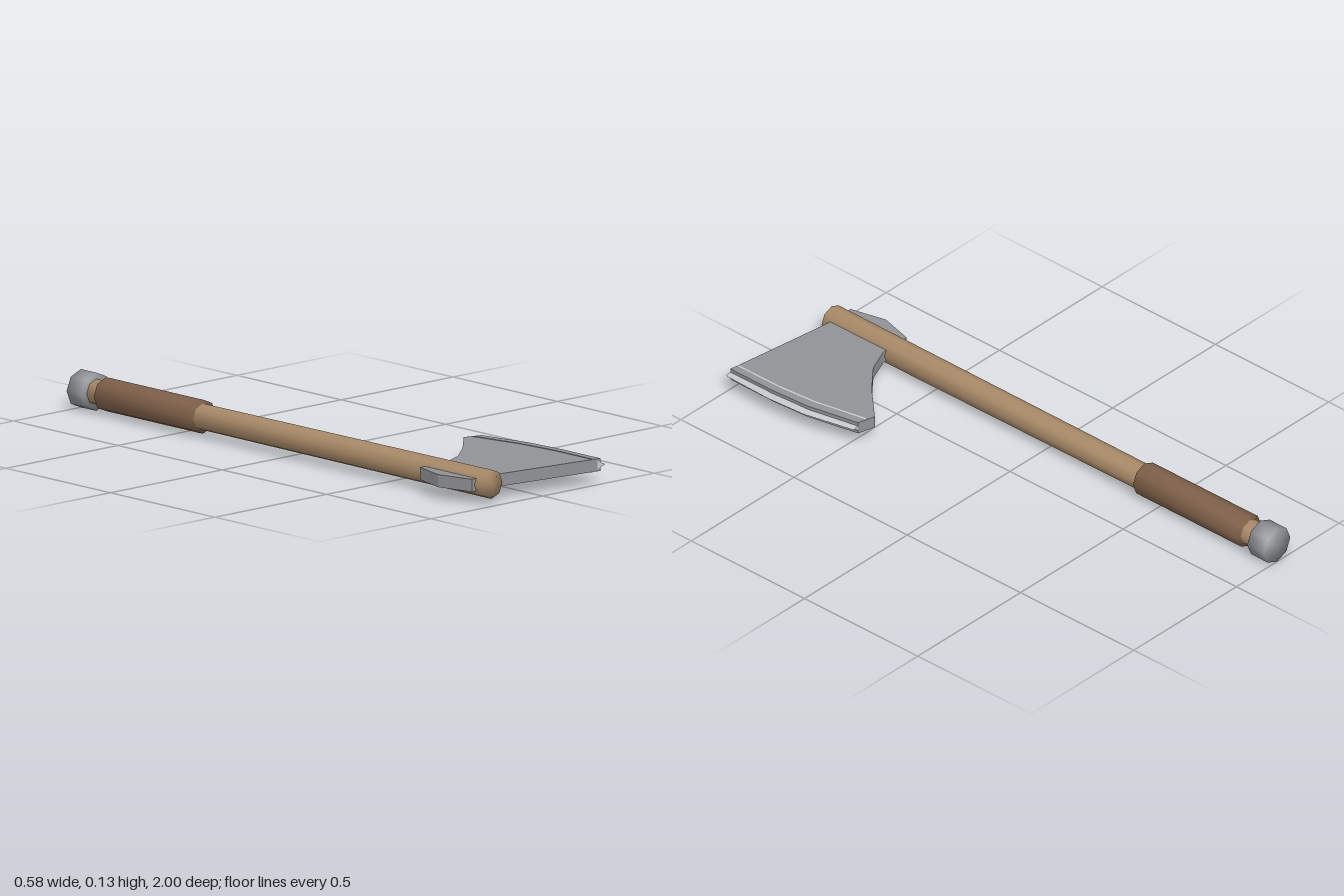
import * as THREE from 'three';
import { mergeVertices } from 'three/addons/utils/BufferGeometryUtils.js';

const AXIS_X = -0.198, AXIS_Y = 0.065;

function material(name, color) {
  const m = new THREE.MeshStandardMaterial({ color });
  m.name = name;
  return m;
}

// Eight-sided rod along z, smoothed across sides and end caps
function rod(name, rFront, rBack, zFront, zBack, mat) {
  let g = new THREE.CylinderGeometry(rFront, rBack, zFront - zBack, 8, 1);
  g.deleteAttribute('uv');
  g.deleteAttribute('normal');
  g = mergeVertices(g, 1e-4);
  g.computeVertexNormals();
  g.rotateX(Math.PI / 2);
  const mesh = new THREE.Mesh(g, mat);
  mesh.name = name;
  mesh.position.set(AXIS_X, AXIS_Y, (zFront + zBack) / 2);
  return mesh;
}

// Flat axe head: outline in x, z, extruded through y
function axeHead(mat) {
  const outline = [
    [-0.29, 0.81], [-0.258, 0.69], [-0.145, 0.69], [-0.055, 0.653], [0.04, 0.574],
    [0.153, 0.458], [0.216, 0.474], [0.255, 0.66], [0.265, 0.81], [0.264, 0.995],
    [0.235, 0.99], [-0.145, 0.938], [-0.258, 0.938],
  ];
  const shape = new THREE.Shape(outline.map(([x, z]) => new THREE.Vector2(x, z)));
  const g = new THREE.ExtrudeGeometry(shape, { depth: 0.042, bevelEnabled: false });
  g.rotateX(Math.PI / 2);
  const mesh = new THREE.Mesh(g, mat);
  mesh.name = 'axeHead';
  mesh.position.y = AXIS_Y + 0.021;
  return mesh;
}

// Sharpened wedge: triangular section swept along the curved edge
function cuttingEdge(mat) {
  const h = 0.0228;
  // inner x, inner z, outer x, outer z
  const stations = [
    [0.18, 0.468, 0.235, 0.478], [0.219, 0.66, 0.277, 0.662],
    [0.232, 0.81, 0.287, 0.81], [0.232, 0.988, 0.281, 1.0],
  ];
  const pos = [], idx = [];
  stations.forEach(([xi, zi, xo, zo]) => {
    pos.push(xi, AXIS_Y + h, zi, xo, AXIS_Y, zo, xi, AXIS_Y - h, zi);
  });
  const last = (stations.length - 1) * 3;
  for (let k = 0; k < last; k += 3) {
    for (let j = 0; j < 3; j++) {
      const a = k + j, b = k + (j + 1) % 3;
      idx.push(a, a + 3, b, b, a + 3, b + 3);
    }
  }
  idx.push(0, 1, 2, last, last + 2, last + 1);
  let g = new THREE.BufferGeometry();
  g.setAttribute('position', new THREE.Float32BufferAttribute(pos, 3));
  g.setIndex(idx);
  g = g.toNonIndexed();
  g.computeVertexNormals();
  const mesh = new THREE.Mesh(g, mat);
  mesh.name = 'cuttingEdge';
  return mesh;
}

export function createModel() {
  const wood = material('wood', 0xa98a68);
  const leather = material('leather', 0x7f6049);
  const steel = material('steel', 0x919296);
  const brightSteel = material('brightSteel', 0xc6c7ca);

  const axe = new THREE.Group();
  axe.name = 'axe';
  axe.add(
    rod('handle', 0.049, 0.043, 0.967, -0.96, wood),
    rod('grip', 0.057, 0.057, -0.415, -0.878, leather),
    rod('pommel', 0.064, 0.064, -0.926, -1, steel),
    axeHead(steel),
    cuttingEdge(brightSteel),
  );
  return axe;
}
